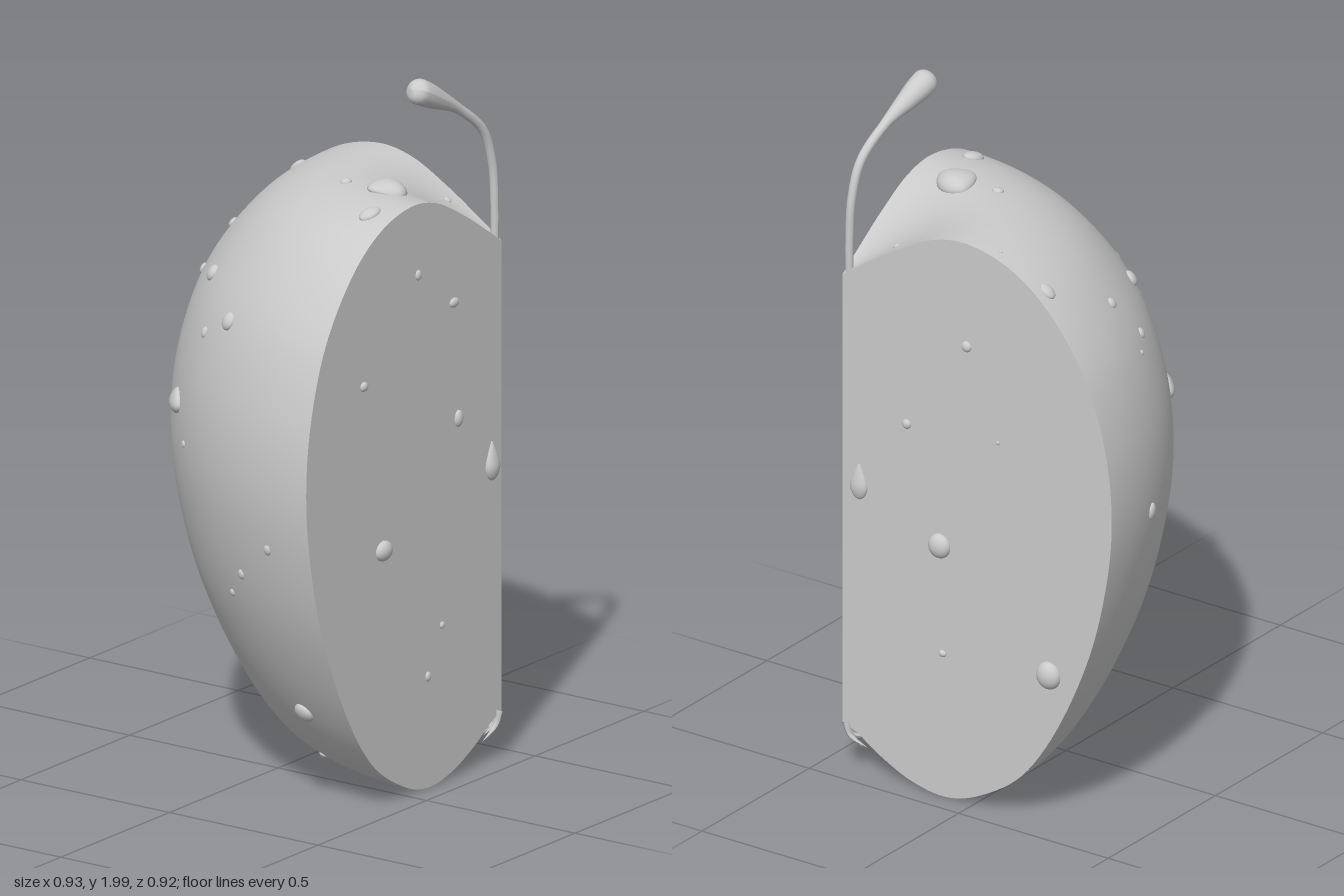
import * as THREE from 'three';

const AXIS = 0.435; // the core runs vertically through (AXIS, y, AXIS)
const material = new THREE.MeshStandardMaterial({ color: 0xcccccc });
const openMaterial = new THREE.MeshStandardMaterial({ color: 0xcccccc, side: THREE.DoubleSide });

// Half outline of the fruit, [radius from core, height], bottom to top
const outline = new THREE.SplineCurve([
  [0, 0.135], [0.05, 0.115], [0.13, 0.065], [0.23, 0.02], [0.345, 0.003], [0.46, 0.038],
  [0.6, 0.135], [0.72, 0.31], [0.825, 0.55], [0.882, 0.78], [0.9, 0.98], [0.878, 1.18],
  [0.81, 1.38], [0.69, 1.545], [0.56, 1.64], [0.42, 1.677], [0.3, 1.658], [0.18, 1.595],
  [0.08, 1.53], [0, 1.475],
].map(([r, y]) => new THREE.Vector2(r, y))).getPoints(120);
outline.forEach((p) => { p.x = Math.max(p.x, 0); });

function add(parent, name, geometry, mat = material) {
  const mesh = new THREE.Mesh(geometry, mat);
  mesh.name = name;
  parent.add(mesh);
  return mesh;
}

// Rounded droplet; taper narrows its upper end to a point
function dropletGeometry(taper) {
  const g = new THREE.SphereGeometry(1, 24, 16);
  const p = g.attributes.position;
  for (let i = 0; i < p.count; i++) {
    const y = p.getY(i);
    const k = 1 - taper * Math.max(0, y + 0.3);
    p.setXYZ(i, p.getX(i) * k, y, p.getZ(i) * k);
  }
  g.computeVertexNormals();
  return g;
}

// Tube whose radius follows a function of the position along the curve
function taperedTube(curve, radiusAt, segments, sides) {
  const g = new THREE.TubeGeometry(curve, segments, 1, sides);
  const p = g.attributes.position;
  const v = new THREE.Vector3();
  for (let i = 0; i < p.count; i++) {
    const u = Math.floor(i / (sides + 1)) / segments;
    const c = curve.getPointAt(u);
    v.fromBufferAttribute(p, i).sub(c).multiplyScalar(radiusAt(u)).add(c);
    p.setXYZ(i, v.x, v.y, v.z);
  }
  g.computeVertexNormals();
  return g;
}

function createFruit(group) {
  // Quarter of rounded skin
  const skin = add(group, 'skin', new THREE.LatheGeometry(outline, 48, Math.PI, Math.PI / 2), openMaterial);
  skin.position.set(AXIS, 0, AXIS);

  // Two flat cut faces meeting at the core
  const face = (sign) => new THREE.ShapeGeometry(
    new THREE.Shape(outline.map((p) => new THREE.Vector2(sign * p.x, p.y))));
  add(group, 'frontCutFace', face(-1)).position.set(AXIS, 0, AXIS);
  const side = add(group, 'sideCutFace', face(1));
  side.position.set(AXIS, 0, AXIS);
  side.rotation.y = Math.PI / 2;
}

function createStem(group) {
  const path = new THREE.CatmullRomCurve3([
    [0.42, 1.44, 0.422], [0.42, 1.58, 0.422], [0.412, 1.7, 0.42], [0.378, 1.8, 0.414],
    [0.29, 1.88, 0.397], [0.2, 1.932, 0.378], [0.118, 1.975, 0.362],
  ].map((p) => new THREE.Vector3(...p)));
  // Thin shaft swelling to a rounded knob
  const radius = (u) => {
    const swell = 0.011 + 0.004 * u + 0.022 * THREE.MathUtils.smoothstep(u, 0.68, 0.95);
    return swell * Math.sqrt(Math.max(0, 1 - Math.max(0, (u - 0.95) / 0.05) ** 2));
  };
  add(group, 'stem', taperedTube(path, radius, 100, 16));
}

function createCalyx(group) {
  // Small dried sepals under the core
  const calyx = new THREE.Group();
  calyx.name = 'calyx';
  for (let i = 0; i < 5; i++) {
    const a = (i + 0.4) / 4.8 * Math.PI / 2;
    const at = (r, y) => new THREE.Vector3(AXIS - r * Math.cos(a), y, AXIS - r * Math.sin(a));
    const reach = i % 2 ? 0.055 : 0.075;
    const curve = new THREE.CatmullRomCurve3([at(0.012, 0.14), at(0.025, 0.1), at(reach, 0.065 + 0.01 * (i % 3))]);
    add(calyx, 'sepal', taperedTube(curve, (u) => 0.012 * (1 - u) + 0.0005, 10, 8));
  }
  group.add(calyx);
}

function createDroplets(group) {
  const round = dropletGeometry(0);
  const pear = dropletGeometry(0.3);
  const seed = dropletGeometry(0.5);
  const droplets = new THREE.Group();
  droplets.name = 'droplets';
  group.add(droplets);

  // Front cut face: x, y, half width, half height
  [[0.05, 1.475, 0.012, 0.015], [0.215, 1.355, 0.02, 0.014], [-0.2, 1.22, 0.016, 0.014],
    [0.235, 1.02, 0.017, 0.024], [-0.11, 0.73, 0.034, 0.029], [0.16, 0.45, 0.01, 0.01],
    [0.095, 0.32, 0.011, 0.014]].forEach(([x, y, w, h]) => {
    const d = add(droplets, 'frontDroplet', round);
    d.position.set(x, y, AXIS);
    d.scale.set(w, h, Math.min(w, h) * 0.7);
  });

  // Side cut face: z, y, half width, half height
  [[0.02, 1.37, 0.016, 0.016], [-0.085, 1.11, 0.006, 0.006], [0.22, 1.085, 0.014, 0.014],
    [0.11, 0.75, 0.035, 0.036], [-0.255, 0.46, 0.038, 0.04], [0.1, 0.43, 0.012, 0.01]].forEach(([z, y, w, h]) => {
    const d = add(droplets, 'sideDroplet', round);
    d.position.set(AXIS, y, z);
    d.scale.set(w * 0.7, h, w);
  });

  // A pip on each cut face beside the core
  const frontPip = add(group, 'frontPip', seed);
  frontPip.position.set(0.39, 0.86, AXIS);
  frontPip.scale.set(0.031, 0.056, 0.02);
  const sidePip = add(group, 'sidePip', seed);
  sidePip.position.set(AXIS, 0.87, 0.38);
  sidePip.scale.set(0.016, 0.053, 0.03);

  // Skin: rough x, y, z snapped to the surface, half width, half height
  [[0.11, 1.67, 0.28, 0.067, 0.055], [-0.05, 1.66, 0.355, 0.025, 0.034], [0.105, 1.67, 0.155, 0.016, 0.016],
    [-0.285, 1.37, 0.045, 0.025, 0.026], [-0.255, 1.3, -0.075, 0.013, 0.016], [-0.105, 1.42, -0.14, 0.024, 0.024],
    [0.045, 1.36, -0.33, 0.014, 0.016], [0.15, 1.46, -0.265, 0.015, 0.016], [0.385, 1.57, -0.22, 0.02, 0.026],
    [0.375, 1.54, 0.275, 0.01, 0.011], [0.1, 1.32, -0.36, 0.008, 0.008], [0.395, 1.66, -0.065, 0.005, 0.005],
    [-0.215, 1.075, -0.195, 0.046, 0.036], [-0.28, 0.96, -0.115, 0.01, 0.01], [0.205, 0.9, -0.43, 0.018, 0.025],
    [-0.427, 0.77, 0.283, 0.012, 0.015], [-0.369, 0.67, 0.158, 0.012, 0.015], [-0.319, 0.59, 0.099, 0.01, 0.011],
    [-0.215, 0.27, 0.273, 0.033, 0.03], [-0.067, 0.13, 0.211, 0.012, 0.012], [0.026, 0.23, -0.07, 0.009, 0.009],
    [0.297, 0.07, -0.046, 0.028, 0.02]].forEach(([x, y, z, w, h]) => {
    const r = Math.hypot(x - AXIS, z - AXIS);
    let k = 1;
    for (let i = 1; i < outline.length - 1; i++) {
      if (Math.hypot(outline[i].x - r, outline[i].y - y) < Math.hypot(outline[k].x - r, outline[k].y - y)) k = i;
    }
    const along = outline[k + 1].clone().sub(outline[k - 1]).normalize();
    const dx = (x - AXIS) / r, dz = (z - AXIS) / r;
    const d = add(droplets, 'skinDroplet', w > 0.04 ? pear : round);
    d.position.set(AXIS + dx * outline[k].x, outline[k].y, AXIS + dz * outline[k].x);
    d.lookAt(d.position.clone().add(new THREE.Vector3(dx * along.y, -along.x, dz * along.y)));
    d.scale.set(w, h, Math.min(w, h) * 0.6);
  });
}

export function createModel() {
  const group = new THREE.Group();
  group.name = 'fruitQuarter';
  createFruit(group);
  createStem(group);
  createCalyx(group);
  createDroplets(group);
  return group;
}
